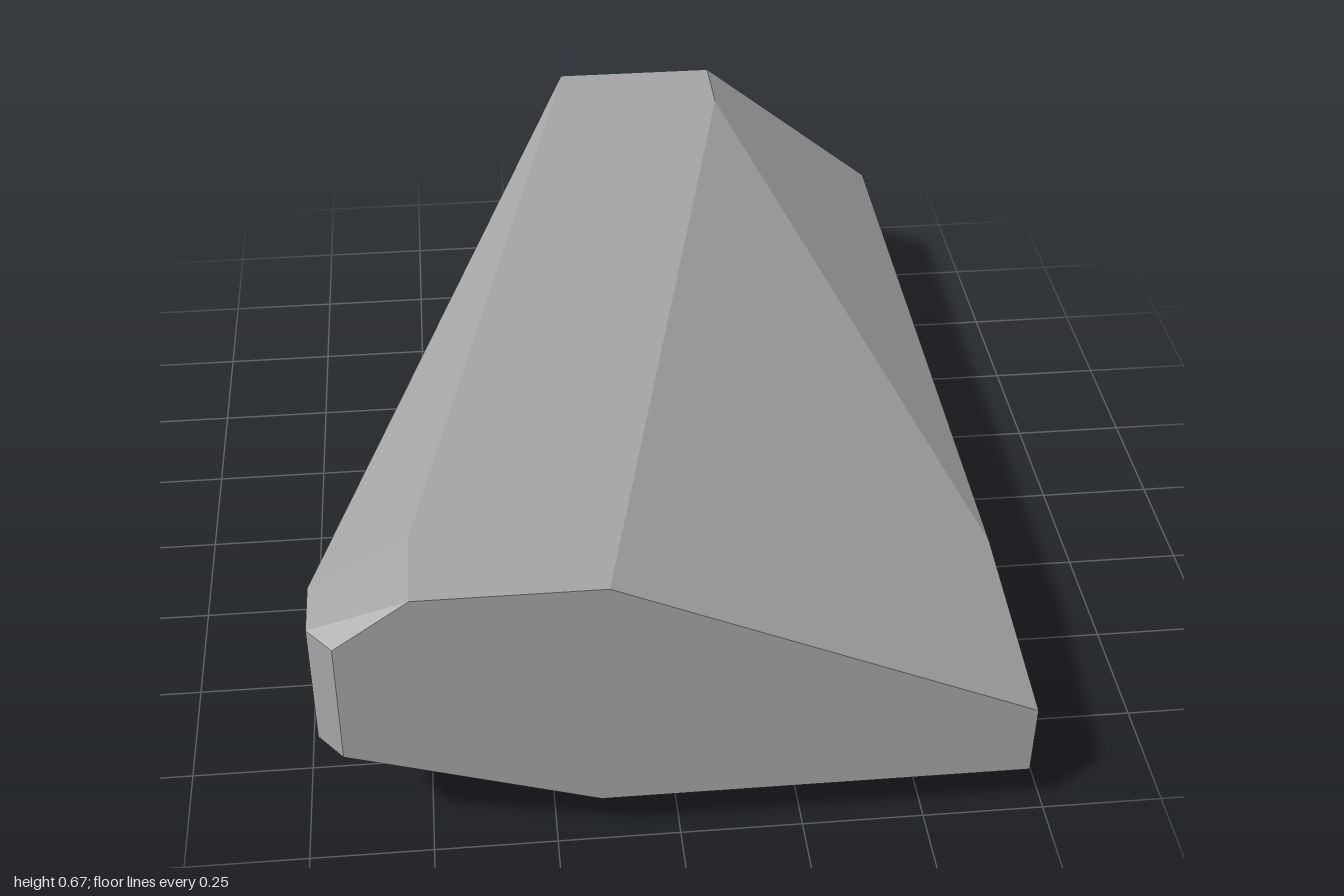
import * as THREE from 'three';
import { ConvexGeometry } from 'three/addons/geometries/ConvexGeometry.js';

export function createModel() {
  const group = new THREE.Group();
  group.name = 'rock';
  const stone = new THREE.MeshStandardMaterial({ color: 0xa6a6a6 });
  stone.name = 'stone grey';

  // Corners of the chiselled block, grouped by the facet they bound
  const corners = [
    // front face
    [-0.66, 0.56, 1], [-0.51, 0.67, 1], [-0.14, 0.67, 1], [0.71, 0.28, 1],
    [0.71, 0.115, 1], [-0.16, 0.115, 1], [-0.66, 0.28, 1],
    // narrow facet at the front corner
    [-0.71, 0.56, 0.94], [-0.71, 0.28, 0.94], [-0.71, 0.56, 0.82], [-0.71, 0.28, 0.82],
    // flat top
    [-0.51, 0.67, 0.82], [0.28, 0.67, -0.83],
    // straight side
    [0.71, 0.33, 0.54], [0.71, 0, 0.66], [0.71, 0, 0.4],
    // back face
    [-0.1, 0.67, -1], [0.28, 0.67, -1], [0.71, 0.33, -1],
    [0.71, 0.05, -1], [0.51, 0, -1], [-0.1, 0, -1],
    // slanted side and base corners
    [-0.36, 0.28, -0.62], [-0.36, 0.215, -0.62], [-0.3, 0.215, -0.72],
    [-0.355, 0, -0.59], [-0.33, 0, 0.66],
  ].map((p) => new THREE.Vector3(...p));

  // Faceted stone body
  const body = new THREE.Mesh(new ConvexGeometry(corners), stone);
  body.name = 'rockBody';
  group.add(body);
  return group;
}
